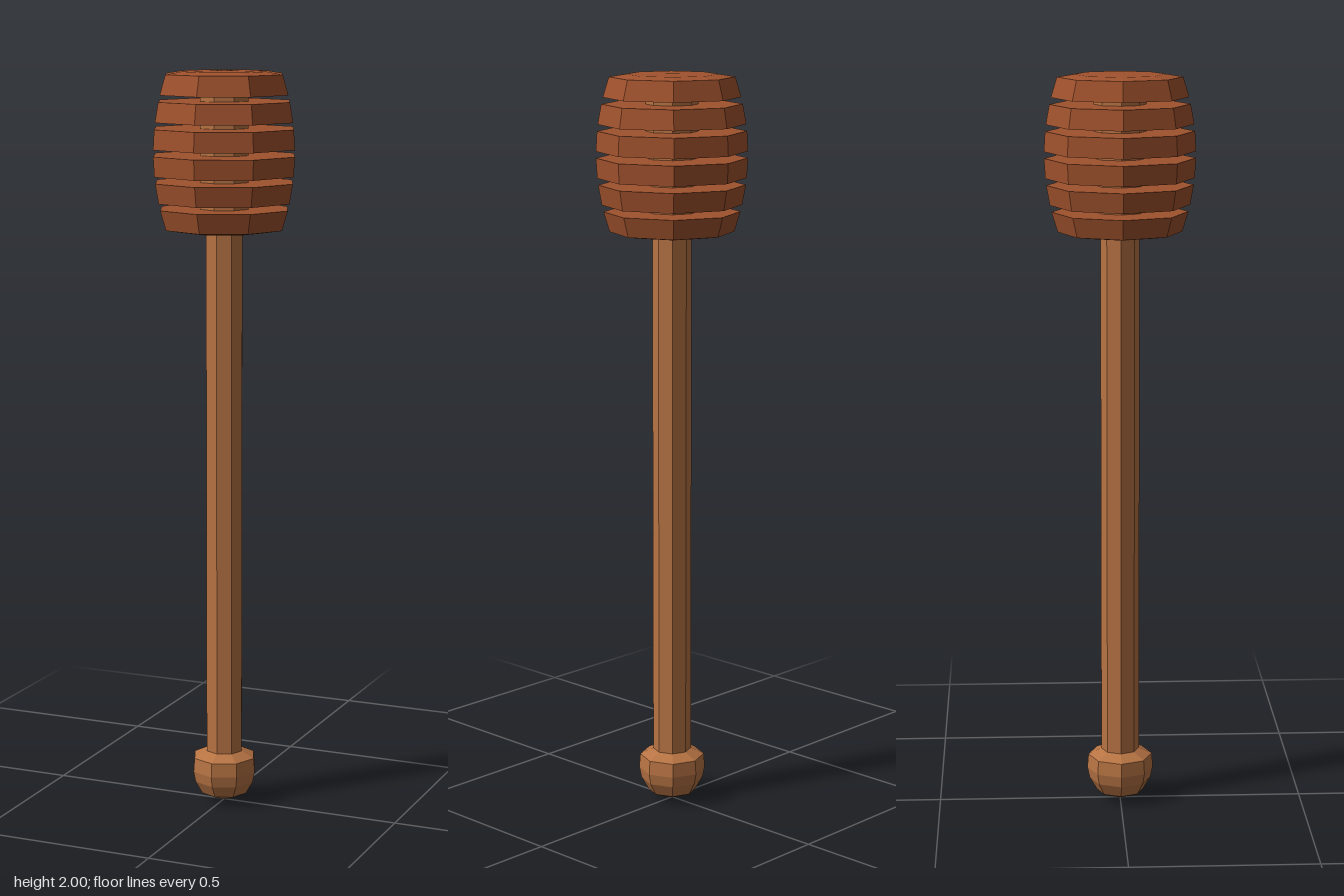
import * as THREE from 'three';

const SIDES = 8;
const handleWood = new THREE.MeshStandardMaterial({ color: 0xb87444, flatShading: true });
const headWood = new THREE.MeshStandardMaterial({ color: 0xa0522d, flatShading: true });

// Turns a profile of [radius, y] pairs, listed bottom to top, into an eight-sided solid
function turned(name, profile, material) {
  const points = profile.map(([r, y]) => new THREE.Vector2(r, y));
  const mesh = new THREE.Mesh(new THREE.LatheGeometry(points, SIDES), material);
  mesh.name = name;
  return mesh;
}

export function createModel() {
  const group = new THREE.Group();
  group.name = 'honeyDipper';

  // Rounded knob at the foot of the handle
  group.add(turned('endKnob', [
    [0, 0], [0.03, 0.01], [0.065, 0.025], [0.085, 0.06],
    [0.091, 0.09], [0.088, 0.128], [0.05, 0.146], [0, 0.146],
  ], handleWood));

  // Long straight handle
  group.add(turned('handle', [[0, 0.1], [0.052, 0.1], [0.052, 1.6], [0, 1.6]], handleWood));

  // Core joining the discs
  group.add(turned('core', [[0, 1.6], [0.069, 1.6], [0.069, 1.97], [0, 1.97]], handleWood));

  // Barrel-shaped head: six grooved discs, the end ones slightly domed
  const head = new THREE.Group();
  head.name = 'head';
  const count = 6, pitch = 0.0705, height = 0.053, middle = 1.788;
  const barrel = (y) => 0.2 - 0.85 * (y - middle) ** 2;
  for (let i = 0; i < count; i++) {
    const y = middle + (i - (count - 1) / 2) * pitch;
    const low = y - height / 2, high = y + height / 2;
    const profile = [[barrel(low), low], [barrel(high), high]];
    if (i === 0) profile.unshift([0, low - 0.009], [0.12, low - 0.007]);
    else profile.unshift([0, low]);
    if (i === count - 1) profile.push([0.12, 1.998], [0, 2]);
    else profile.push([0, high]);
    head.add(turned('disc' + (i + 1), profile, headWood));
  }
  group.add(head);
  return group;
}
